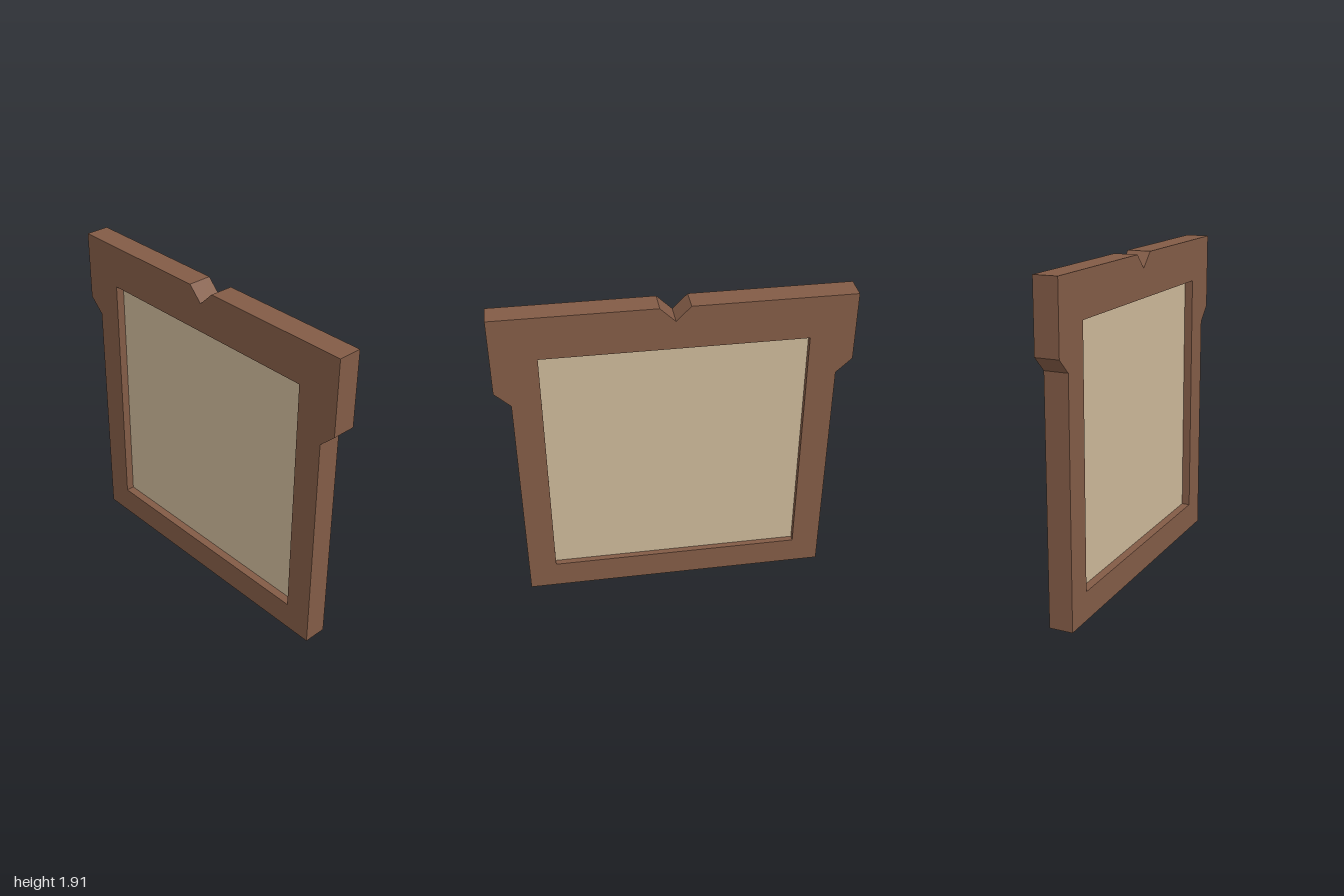
import * as THREE from 'three';

export function createModel() {
  const model = new THREE.Group();
  const brown = new THREE.MeshStandardMaterial({ name: 'brownWood', color: 0x825b46 });
  const tan = new THREE.MeshStandardMaterial({ name: 'tanPanel', color: 0xcbb798 });

  const depth = 0.14;
  const opening = { half: 0.745, bottom: 0.17, top: 1.66 };
  const points = (list) => list.map(([x, y]) => new THREE.Vector2(x, y));

  // Frame outline: wide head with a V notch, chamfered shoulders of unequal height
  const outline = new THREE.Shape(points([
    [-0.91, 0], [0.91, 0], [0.91, 1.375], [1, 1.463], [1, 1.915],
    [0.087, 1.915], [0, 1.83], [-0.084, 1.915],
    [-1, 1.915], [-1, 1.505], [-0.91, 1.42],
  ]));

  // Rectangular opening through the frame
  const { half, bottom, top } = opening;
  outline.holes.push(new THREE.Path(points([
    [-half, bottom], [-half, top], [half, top], [half, bottom],
  ])));

  const frameGeometry = new THREE.ExtrudeGeometry(outline, { depth, bevelEnabled: false });
  frameGeometry.translate(0, 0, -depth / 2);
  const frame = new THREE.Mesh(frameGeometry, brown);
  frame.name = 'frame';

  // Panel recessed a little deeper from the front than from the back
  const panelFront = 0.02, panelBack = -0.035;
  const panel = new THREE.Mesh(
    new THREE.BoxGeometry(half * 2, top - bottom, panelFront - panelBack), tan);
  panel.name = 'panel';
  panel.position.set(0, (top + bottom) / 2, (panelFront + panelBack) / 2);

  model.add(frame, panel);
  return model;
}
